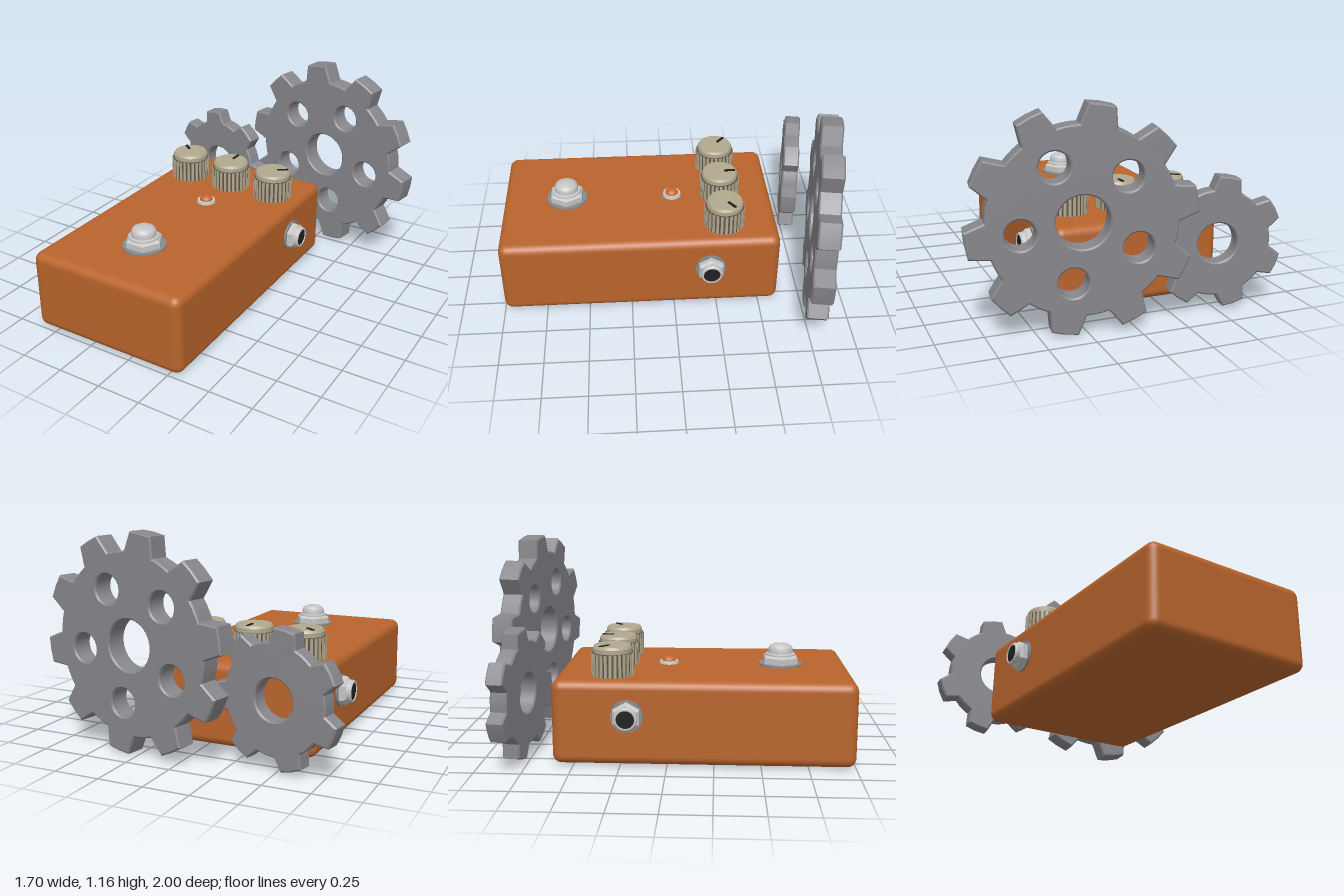
import * as THREE from 'three';
import { toCreasedNormals } from 'three/addons/utils/BufferGeometryUtils.js';
import { RoundedBoxGeometry } from 'three/addons/geometries/RoundedBoxGeometry.js';

const paint = (name, color) => {
  const m = new THREE.MeshStandardMaterial({ color });
  m.name = name;
  return m;
};
const orange = paint('orange enamel', 0xb8642c);
const gearGrey = paint('gear grey', 0x87878c);
const silver = paint('silver', 0xc6c6c6);
const washerGrey = paint('washer grey', 0x858a8c);
const beige = paint('knob beige', 0xb2a88f);
const grooveBrown = paint('groove brown', 0x5c5544);
const black = paint('black', 0x1f1f1f);
const lampOrange = paint('lamp orange', 0xc8662e);

const TOP = 0.463, MID = -0.148;

function add(parent, name, geometry, material, x = 0, y = 0, z = 0) {
  const mesh = new THREE.Mesh(geometry, material);
  mesh.name = name;
  mesh.position.set(x, y, z);
  parent.add(mesh);
  return mesh;
}

function group(parent, name, x, y, z) {
  const g = new THREE.Group();
  g.name = name;
  g.position.set(x, y, z);
  parent.add(g);
  return g;
}

// Upright disc from y0 to y1
function disc(parent, name, material, r, y0, y1, sides = 40, rTop = r) {
  return add(parent, name, new THREE.CylinderGeometry(rTop, r, y1 - y0, sides), material, 0, (y0 + y1) / 2);
}

// Six-sided nut with its top corners chamfered
function hexNut(parent, r, y0, y1, turn) {
  const pts = [[0, y0], [r, y0], [r, y1 - 0.012], [r - 0.014, y1], [0, y1]].map(p => new THREE.Vector2(...p));
  const geo = toCreasedNormals(new THREE.LatheGeometry(pts, 6), 0.1);
  return add(parent, 'hexNut', geo, silver).rotateY(turn);
}

// Spur gear with trapezoid teeth, a bore and an optional ring of holes
function gear(parent, name, o) {
  const rad = THREE.MathUtils.degToRad;
  const shape = new THREE.Shape();
  const step = 360 / o.teeth;
  const pts = [];
  const arc = (r, a, b, n) => {
    for (let i = 0; i <= n; i++) {
      const t = rad(a + (b - a) * i / n);
      pts.push(new THREE.Vector2(r * Math.cos(t), r * Math.sin(t)));
    }
  };
  for (let i = 0; i < o.teeth; i++) {
    const a = o.phase + i * step;
    arc(o.outer, a - o.tip, a + o.tip, 2);
    arc(o.root, a + o.base, a + step - o.base, 3);
  }
  shape.setFromPoints(pts);
  const hole = (x, y, r) => shape.holes.push(new THREE.Path().absarc(x, y, r, 0, Math.PI * 2, true));
  hole(0, 0, o.bore);
  for (let i = 0; i < (o.holes || 0); i++) {
    const t = rad(o.phase + i * 360 / o.holes);
    hole(0.312 * Math.cos(t), 0.312 * Math.sin(t), 0.078);
  }
  const bevel = 0.008;
  const geo = new THREE.ExtrudeGeometry(shape, {
    depth: o.thick - 2 * bevel, curveSegments: 20, bevelEnabled: true,
    bevelSize: bevel, bevelThickness: bevel, bevelOffset: -bevel, bevelSegments: 1
  });
  geo.translate(0, 0, bevel - o.thick / 2);
  const mesh = add(parent, name, toCreasedNormals(geo, 0.4), gearGrey, ...o.at);
  mesh.rotation.y = rad(-10);
}

// Knurled knob: dark core, beige ribs, cap and pointer
function knob(parent, name, x, turn) {
  const g = group(parent, name, x, TOP, -0.3);
  disc(g, 'core', grooveBrown, 0.113, 0, 0.125);
  const ribs = 28;
  const ribGeo = new THREE.BoxGeometry(0.015, 0.123, 0.012);
  for (let i = 0; i < ribs; i++) {
    const a = i / ribs * Math.PI * 2;
    add(g, 'rib', ribGeo, beige, 0.111 * Math.sin(a), 0.0615, 0.111 * Math.cos(a)).rotation.y = a;
  }
  const profile = [[0.106, 0.125], [0.106, 0.148], [0.097, 0.162], [0, 0.162]].map(p => new THREE.Vector2(...p));
  add(g, 'cap', toCreasedNormals(new THREE.LatheGeometry(profile, 40), 0.4), beige);
  const pointer = group(g, 'pointer', 0, 0.163, 0);
  add(pointer, 'pointerMark', new THREE.BoxGeometry(0.016, 0.006, 0.066), black, 0, 0, -0.06);
  pointer.rotation.y = turn;
}

// Socket on the side wall, pointing out along x
function jack(parent, name, side) {
  const g = group(parent, name, MID + side * 0.472, 0.278, -0.21);
  g.rotation.z = -side * Math.PI / 2;
  disc(g, 'washer', washerGrey, 0.087, 0, 0.012);
  hexNut(g, 0.081, 0.012, 0.05, Math.PI / 2);
  const sleeve = [[0.062, 0.05], [0.062, 0.07], [0.056, 0.077], [0.048, 0.077], [0.048, 0.04]];
  const geo = new THREE.LatheGeometry(sleeve.map(p => new THREE.Vector2(...p)), 32);
  add(g, 'sleeve', toCreasedNormals(geo, 0.5), silver);
  disc(g, 'socketHole', black, 0.049, 0.05, 0.072, 32);
}

export function createModel() {
  const model = new THREE.Group();
  model.name = 'pedalWithGears';

  // Enclosure
  add(model, 'enclosure', new RoundedBoxGeometry(0.946, 0.458, 1.612, 5, 0.05), orange, MID, 0.234, 0.194);

  // Control knobs
  knob(model, 'leftKnob', -0.445, 0.87);
  knob(model, 'middleKnob', MID, 0);
  knob(model, 'rightKnob', 0.147, -0.95);

  // Indicator lamp
  const lamp = group(model, 'lamp', MID, TOP, -0.012);
  disc(lamp, 'bezel', silver, 0.056, 0, 0.016, 32, 0.052);
  add(lamp, 'bulb', new THREE.SphereGeometry(0.039, 24, 8, 0, Math.PI * 2, 0, Math.PI / 2), lampOrange, 0, 0.014)
    .scale.y = 0.75;

  // Foot switch
  const foot = group(model, 'footSwitch', MID, TOP, 0.62);
  disc(foot, 'washer', washerGrey, 0.12, 0, 0.01);
  hexNut(foot, 0.106, 0.01, 0.056, Math.PI / 6 * 3);
  const button = [[0.082, 0.05], [0.082, 0.064], [0.069, 0.068], [0.069, 0.09], [0.062, 0.106], [0.045, 0.116], [0, 0.12]];
  add(foot, 'button', toCreasedNormals(
    new THREE.LatheGeometry(button.map(p => new THREE.Vector2(...p)), 36), 0.7), silver);

  // Side sockets
  jack(model, 'leftJack', 1);
  jack(model, 'rightJack', -1);

  // Gears behind the enclosure
  gear(model, 'largeGear', {
    teeth: 10, phase: -9, outer: 0.582, root: 0.482, tip: 6.8, base: 11.2,
    bore: 0.136, holes: 5, thick: 0.12, at: [0.272, 0.578, -0.84]
  });
  gear(model, 'smallGear', {
    teeth: 7, phase: 99.5, outer: 0.358, root: 0.288, tip: 9.5, base: 15.5,
    bore: 0.108, thick: 0.094, at: [-0.5, 0.368, -0.797]
  });

  return model;
}
